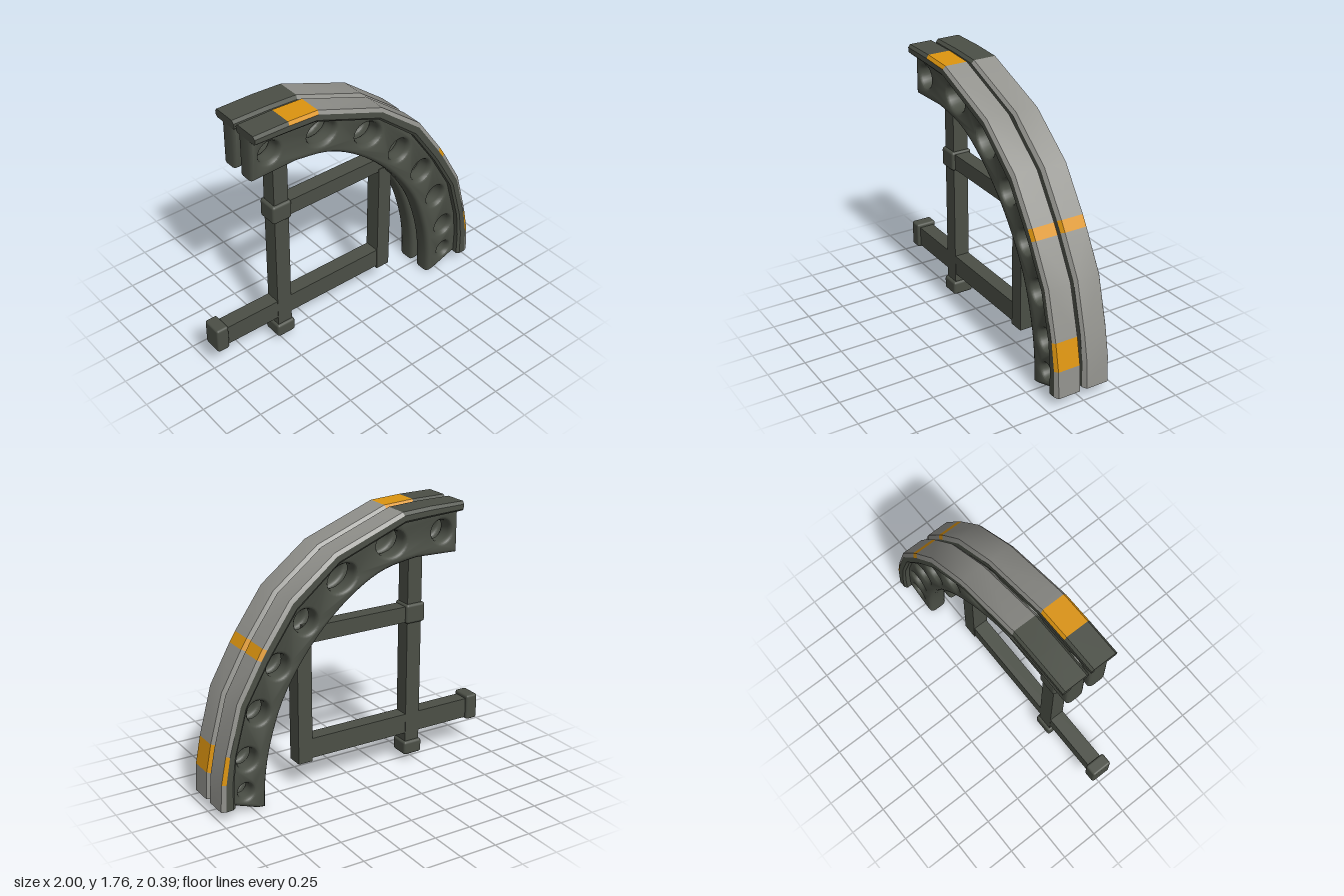
import * as THREE from 'three';
import { toCreasedNormals } from 'three/addons/utils/BufferGeometryUtils.js';
import { RoundedBoxGeometry } from 'three/addons/geometries/RoundedBoxGeometry.js';

const material = (name, color) => {
  const m = new THREE.MeshStandardMaterial({ color });
  m.name = name;
  return m;
};

// Outer rim stations: outer x, y, inner x, y, then front and back paint of the following segment
const rim = [
  [-0.74, 1.76, -0.735, 1.70, 'dark', 'dark'],
  [-0.50, 1.76, -0.50, 1.69, 'orange', 'dark'],
  [-0.29, 1.75, -0.31, 1.68, 'light', 'light'],
  [0.19, 1.57, 0.16, 1.50, 'light', 'light'],
  [0.50, 1.33, 0.45, 1.26, 'light', 'light'],
  [0.685, 1.065, 0.61, 1.03, 'orange', 'orange'],
  [0.725, 1.0, 0.65, 0.97, 'light', 'light'],
  [0.865, 0.75, 0.80, 0.71, 'light', 'light'],
  [0.95, 0.43, 0.88, 0.42, 'orange', 'edge'],
  [0.985, 0.25, 0.90, 0.24, 'light', 'light'],
  [0.995, 0.07, 0.90, 0.075, 'light', 'light'],
];

// Rim cross-section: fraction from inner to outer line, depth
const section = [
  [0, 0.02], [0, 0.18], [0.2, 0.193], [0.7, 0.193], [1, 0.178], [1, 0.026], [0.7, 0.01], [0.15, 0.01],
];

// Lower edge of the web
const webEdge = [
  [0.67, 0.0], [0.66, 0.2], [0.62, 0.42], [0.53, 0.68], [0.38, 0.925],
  [0.2, 1.13], [0.0, 1.29], [-0.2, 1.39], [-0.43, 1.43],
];

// Lightening holes: x, y, radii, rotation
const holes = [
  [-0.61, 1.575, 0.07, 0.07, 0], [-0.235, 1.55, 0.102, 0.08, -0.1],
  [0.115, 1.39, 0.102, 0.077, -0.55], [0.37, 1.16, 0.075, 0.077, 0],
  [0.565, 0.915, 0.074, 0.076, 0], [0.705, 0.645, 0.07, 0.074, 0],
  [0.79, 0.36, 0.066, 0.07, 0], [0.805, 0.145, 0.048, 0.05, 0],
];

// Sweeps the rim section; side is 1 for the front arch and -1 for the back arch
function rimMeshes(side, mats) {
  const rings = rim.map(([ox, oy, ix, iy]) => section.map(([t, z]) =>
    [ix + (ox - ix) * t, iy + (oy - iy) * t, z * side]));
  const buckets = { dark: [], light: [], orange: [] };
  const tri = (list, a, b, c) => list.push(...a, ...(side > 0 ? [...b, ...c] : [...c, ...b]));
  const n = section.length;
  for (let i = 0; i < rings.length - 1; i++) {
    const paint = rim[i][side > 0 ? 4 : 5];
    for (let k = 0; k < n; k++) {
      let color = k >= 3 && k <= 5 ? paint : 'dark';
      if (color === 'edge') color = k === 3 ? 'orange' : 'light';
      const a = rings[i][k], b = rings[i][(k + 1) % n];
      const c = rings[i + 1][(k + 1) % n], d = rings[i + 1][k];
      tri(buckets[color], a, d, c);
      tri(buckets[color], a, c, b);
    }
  }
  // End faces
  const first = rings[0], last = rings[rings.length - 1];
  for (let k = 1; k < n - 1; k++) {
    tri(buckets.dark, first[0], first[k], first[k + 1]);
    tri(buckets.dark, last[0], last[k + 1], last[k]);
  }
  const names = { dark: 'rimBody', light: 'rimWornFace', orange: 'rimPaintedBands' };
  return Object.keys(buckets).map((key) => {
    const g = new THREE.BufferGeometry();
    g.setAttribute('position', new THREE.Float32BufferAttribute(buckets[key], 3));
    const mesh = new THREE.Mesh(toCreasedNormals(g, 0.45), mats[key]);
    mesh.name = names[key];
    return mesh;
  });
}

// Curved web with dished round holes
function webGeometry() {
  const shape = new THREE.Shape();
  shape.moveTo(-0.735, 1.42);
  rim.forEach(([ox, oy, ix, iy], i) => {
    const t = i === 0 || i === rim.length - 1 ? 0.3 : 0.6;
    shape.lineTo(i === 0 ? -0.735 : ix + (ox - ix) * t, iy + (oy - iy) * t);
  });
  shape.lineTo(0.9, 0.07);
  shape.lineTo(0.72, 0.005);
  const curve = new THREE.SplineCurve(webEdge.map(([x, y]) => new THREE.Vector2(x, y)));
  curve.getPoints(32).forEach((p) => shape.lineTo(p.x, p.y));
  for (const [x, y, rx, ry, rot] of holes) {
    const path = new THREE.Path();
    path.absellipse(x, y, rx, ry, 0, Math.PI * 2, false, rot);
    shape.holes.push(path);
  }
  const g = new THREE.ExtrudeGeometry(shape, {
    depth: 0.06, curveSegments: 14, bevelEnabled: true,
    bevelThickness: 0.036, bevelSize: 0.026, bevelOffset: -0.026, bevelSegments: 3,
  });
  g.translate(0, 0, -0.03);
  return toCreasedNormals(g, 0.6);
}

export function createModel() {
  const mats = {
    dark: material('dark metal', 0x4b4f46),
    light: material('worn metal', 0x92928d),
    orange: material('orange paint', 0xdc9410),
  };
  const model = new THREE.Group();
  model.name = 'archSupport';

  // Twin arches
  const web = webGeometry();
  for (const side of [1, -1]) {
    const arch = new THREE.Group();
    arch.name = side > 0 ? 'frontArch' : 'backArch';
    arch.add(...rimMeshes(side, mats));
    const webMesh = new THREE.Mesh(web, mats.dark);
    webMesh.name = 'perforatedWeb';
    webMesh.position.z = side * 0.081;
    arch.add(webMesh);
    model.add(arch);
  }

  // Support frame, each box given by its x and y limits and depth
  const frame = new THREE.Group();
  frame.name = 'supportFrame';
  const box = (name, x0, x1, y0, y1, depth, radius = 0) => {
    const w = x1 - x0, h = y1 - y0;
    const g = radius ? new RoundedBoxGeometry(w, h, depth, 2, radius) : new THREE.BoxGeometry(w, h, depth);
    const mesh = new THREE.Mesh(g, mats.dark);
    mesh.name = name;
    mesh.position.set((x0 + x1) / 2, (y0 + y1) / 2, 0);
    frame.add(mesh);
  };
  box('mainPost', -0.53, -0.425, 0.1, 1.46, 0.104);
  box('innerPost', 0.285, 0.385, 0.18, 1.0, 0.11);
  box('upperBeam', -0.45, 0.32, 0.98, 1.085, 0.1);
  box('lowerBeam', -0.96, 0.3, 0.2, 0.335, 0.1);
  box('postFoot', -0.545, -0.41, 0.045, 0.14, 0.14, 0.018);
  box('postJoint', -0.55, -0.41, 0.97, 1.1, 0.14, 0.018);
  box('beamEndCap', -1.0, -0.915, 0.185, 0.36, 0.14, 0.015);
  model.add(frame);
  return model;
}
